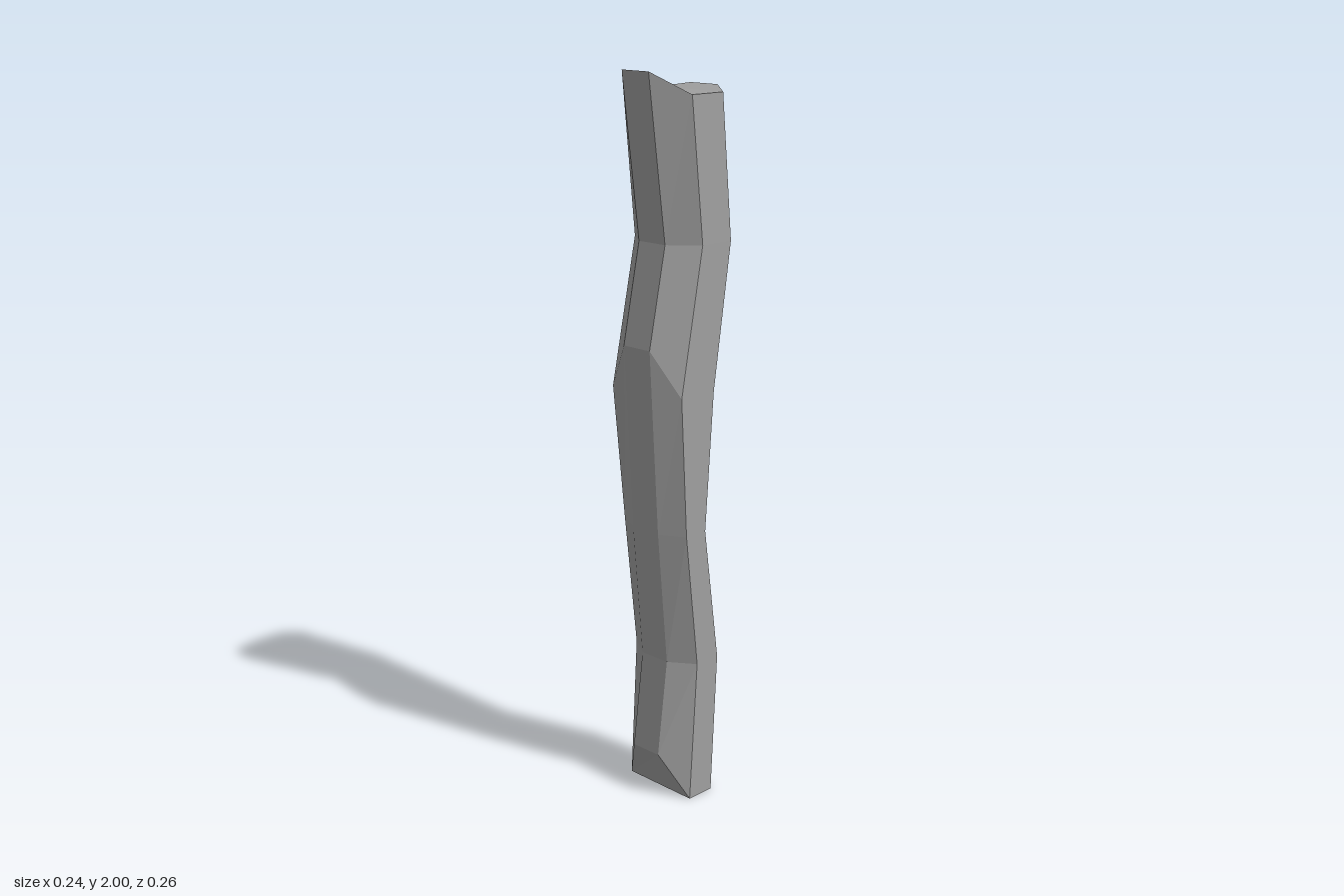
import * as THREE from 'three';

const HALF = 0.118; // half width at the side faces
const INNER = 0.048; // half width of the front and back faces

// One row per bend, bottom to top:
// side height, front [y, z], back [y, z], left side z [front, back], right side z [front, back]
const rows = [
  { y: 0, front: [0.13, 0.105], back: [0.03, -0.075], left: [0.05, -0.035], right: [0.048, -0.035] },
  { y: 0.4, front: [0.4, 0.07], back: [0.4, -0.093], left: [0.022, -0.058], right: [0.025, -0.058] },
  { y: 0.78, front: [0.78, 0.103], back: [0.78, -0.053], left: [0.065, -0.007], right: [0.067, -0.02] },
  { y: 1.165, front: [1.29, 0.132], back: [1.165, -0.092], left: [0.084, -0.037], right: [0.107, -0.018] },
  { y: 1.56, front: [1.56, 0.075], back: [1.56, -0.133], left: [0.008, -0.098], right: [0.022, -0.092] },
  { y: 1.943, front: [2, 0.132], back: [1.955, -0.117], left: [0.048, -0.064], right: [0.048, -0.064] },
];

// Eight corners of a row, starting front right and turning towards the left side
function ring({ y, front, back, left, right }) {
  return [
    [-INNER, ...front], [INNER, ...front],
    [HALF, y, left[0]], [HALF, y, left[1]],
    [INNER, ...back], [-INNER, ...back],
    [-HALF, y, right[1]], [-HALF, y, right[0]],
  ];
}

export function createModel() {
  const positions = rows.flatMap(ring).flat();
  const index = [];
  const quad = (a, b, c, d) => index.push(a, b, c, a, c, d);

  // Bent eight-sided shaft
  for (let r = 0; r < rows.length - 1; r++) {
    for (let i = 0; i < 8; i++) {
      const a = r * 8 + i, b = r * 8 + (i + 1) % 8;
      quad(a, b, b + 8, a + 8);
    }
  }

  // Each end: sloped front piece, flat middle, sloped back piece
  const top = (rows.length - 1) * 8;
  for (const [a, b, c, d] of [[0, 1, 2, 7], [7, 2, 3, 6], [6, 3, 4, 5]]) {
    quad(top + a, top + b, top + c, top + d);
    quad(d, c, b, a);
  }

  // Separate faces with their own normals for a faceted look
  const indexed = new THREE.BufferGeometry();
  indexed.setAttribute('position', new THREE.Float32BufferAttribute(positions, 3));
  indexed.setIndex(index);
  const geometry = indexed.toNonIndexed();
  geometry.computeVertexNormals();

  const shaft = new THREE.Mesh(
    geometry,
    new THREE.MeshStandardMaterial({ color: 0xa0a0a0, flatShading: true })
  );
  shaft.name = 'crookedPost';

  const group = new THREE.Group();
  group.name = 'post';
  group.add(shaft);
  return group;
}
